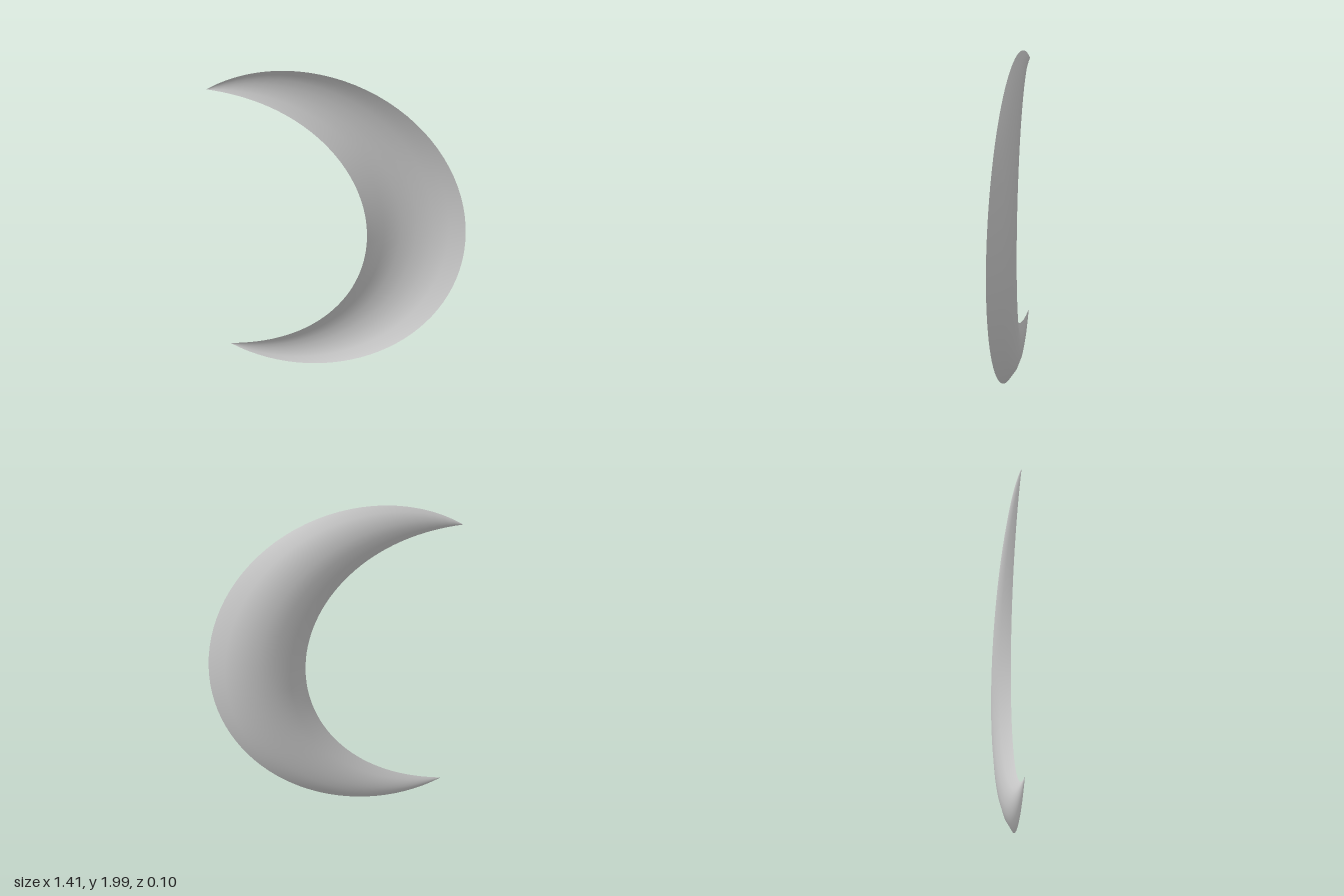
import * as THREE from 'three';

const DEPTH = 0.103, FRONT = 0.0515;

// Outer rim: nearly circular arc, v runs from -1 (lower tip) to 1 (upper tip)
function outerRim(v) {
  const a = v * THREE.MathUtils.degToRad(116.5);
  const tip = 0.021 * Math.sign(v) * Math.pow(Math.abs(v), 8);
  return new THREE.Vector2(-0.27 + 0.975 * Math.cos(a), 1 + Math.sin(a) - tip);
}

// Inner rim: smaller arc meeting the outer one at the tips
function innerRim(v) {
  const a = v * THREE.MathUtils.degToRad(88.7);
  const tip = 0.014 * Math.sign(v) * Math.pow(Math.abs(v), 8);
  return new THREE.Vector2(-0.725 + 0.875 * Math.cos(a), 1 + 0.86 * Math.sin(a) + tip);
}

export function createModel() {
  const group = new THREE.Group();
  group.name = 'crescent';

  const shellGrey = new THREE.MeshStandardMaterial({ color: 0xcccccc, side: THREE.DoubleSide });
  shellGrey.name = 'shellGrey';

  // Thin open shell: a grid bent between the two rims and bulged towards the back
  const geometry = new THREE.PlaneGeometry(2, 2, 6, 64);
  const pos = geometry.attributes.position;
  for (let i = 0; i < pos.count; i++) {
    const t = (pos.getX(i) + 1) / 2;
    const v = pos.getY(i);
    const inner = innerRim(v), outer = outerRim(v);
    const p = inner.clone().lerp(outer, t);
    // the ridge deepens evenly from the tips to the middle
    const ridgeX = (inner.x + outer.x) / 2;
    const depth = DEPTH * Math.max(0, (ridgeX + 0.705) / 1.1325);
    const bulge = Math.pow(Math.max(0, 4 * t * (1 - t)), 0.85);
    pos.setXYZ(i, p.x, p.y, FRONT - depth * bulge);
  }
  geometry.computeVertexNormals();

  const shell = new THREE.Mesh(geometry, shellGrey);
  shell.name = 'crescentShell';
  group.add(shell);
  return group;
}
